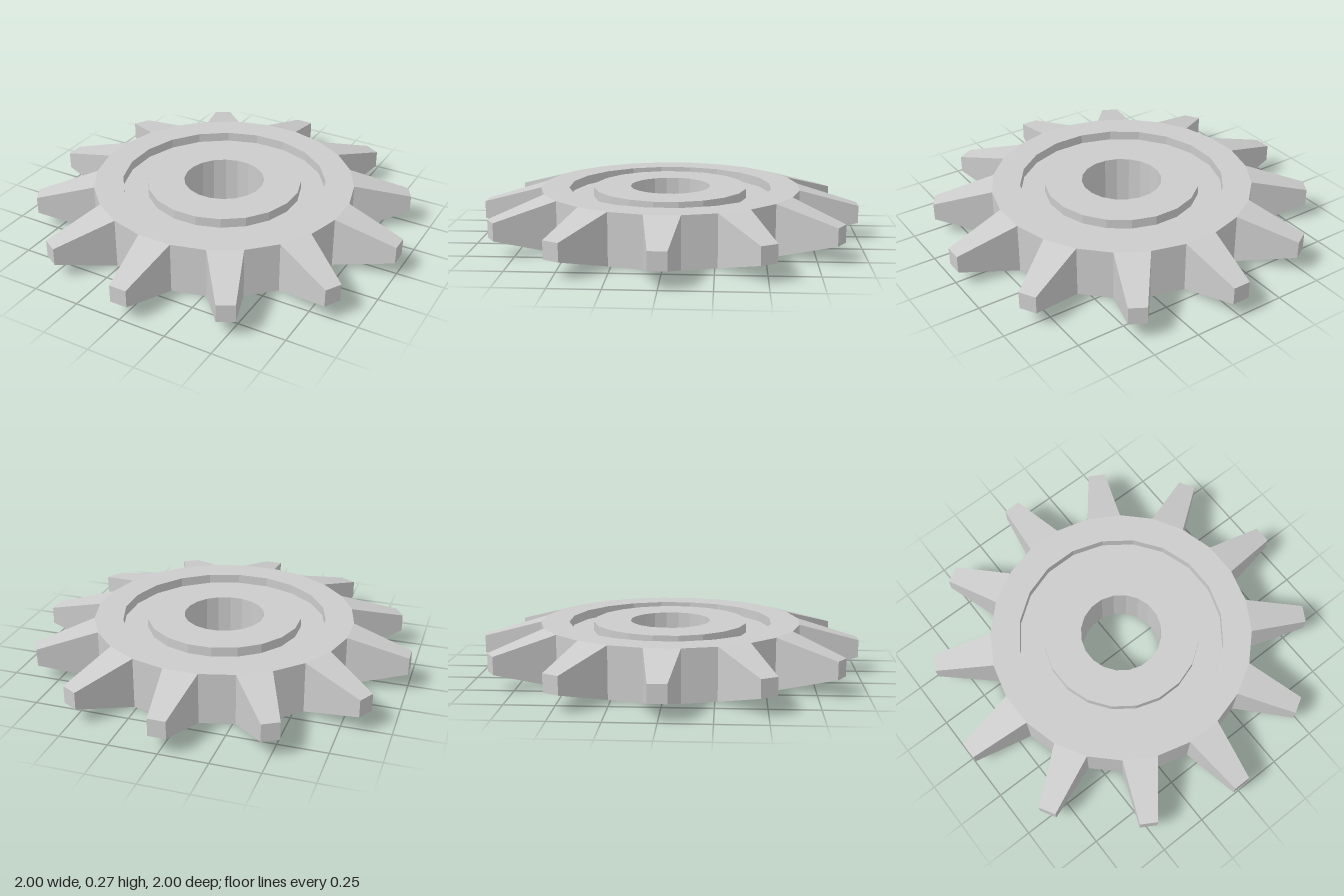
import * as THREE from 'three';

const HEIGHT = 0.27, GROOVE = 0.05, TEETH = 12;
const ROOT = 0.69, RIM_IN = 0.54, HUB_OUT = 0.41, BORE = 0.213;
const material = new THREE.MeshStandardMaterial({ color: 0xcccccc, flatShading: true });

// Corners of a regular polygon with its flats facing the axes
function polygon(radius, sides) {
  return Array.from({ length: sides }, (_, i) => {
    const a = ((i + 0.5) / sides) * Math.PI * 2;
    return new THREE.Vector2(Math.cos(a) * radius, Math.sin(a) * radius);
  });
}

// Upright faceted ring between two polygons
function ring(name, outer, outerSides, inner, innerSides, y0, y1) {
  const shape = new THREE.Shape(polygon(outer, outerSides));
  shape.holes.push(new THREE.Path(polygon(inner, innerSides)));
  const geometry = new THREE.ExtrudeGeometry(shape, { depth: y1 - y0, bevelEnabled: false });
  geometry.rotateX(-Math.PI / 2).translate(0, y0, 0);
  const mesh = new THREE.Mesh(geometry, material);
  mesh.name = name;
  return mesh;
}

// Tooth pointing along +z, narrowing in width and height towards the tip
function toothGeometry() {
  const half = Math.PI / (TEETH * 2);
  const baseZ = ROOT * Math.cos(half), baseWidth = 2 * ROOT * Math.sin(half);
  const geometry = new THREE.BoxGeometry(baseWidth, HEIGHT, 1 - baseZ);
  const p = geometry.attributes.position;
  for (let i = 0; i < p.count; i++) {
    if (p.getZ(i) > 0) p.setXY(i, Math.sign(p.getX(i)) * 0.046, Math.sign(p.getY(i)) * 0.046);
  }
  geometry.translate(0, HEIGHT / 2, (1 + baseZ) / 2);
  geometry.computeVertexNormals();
  return geometry;
}

export function createModel() {
  const group = new THREE.Group();
  group.name = 'sprocket';

  // Body: rim and hub at full height, joined by a web recessed on both sides
  group.add(ring('rim', ROOT, TEETH * 2, RIM_IN, 20, 0, HEIGHT));
  group.add(ring('web', RIM_IN, 20, HUB_OUT, 20, GROOVE, HEIGHT - GROOVE));
  group.add(ring('hub', HUB_OUT, 20, BORE, 20, 0, HEIGHT));

  // Teeth around the rim
  const teeth = new THREE.Group();
  teeth.name = 'teeth';
  const geometry = toothGeometry();
  for (let i = 0; i < TEETH; i++) {
    const tooth = new THREE.Mesh(geometry, material);
    tooth.name = `tooth${i + 1}`;
    tooth.rotation.y = (i / TEETH) * Math.PI * 2;
    teeth.add(tooth);
  }
  group.add(teeth);
  return group;
}
